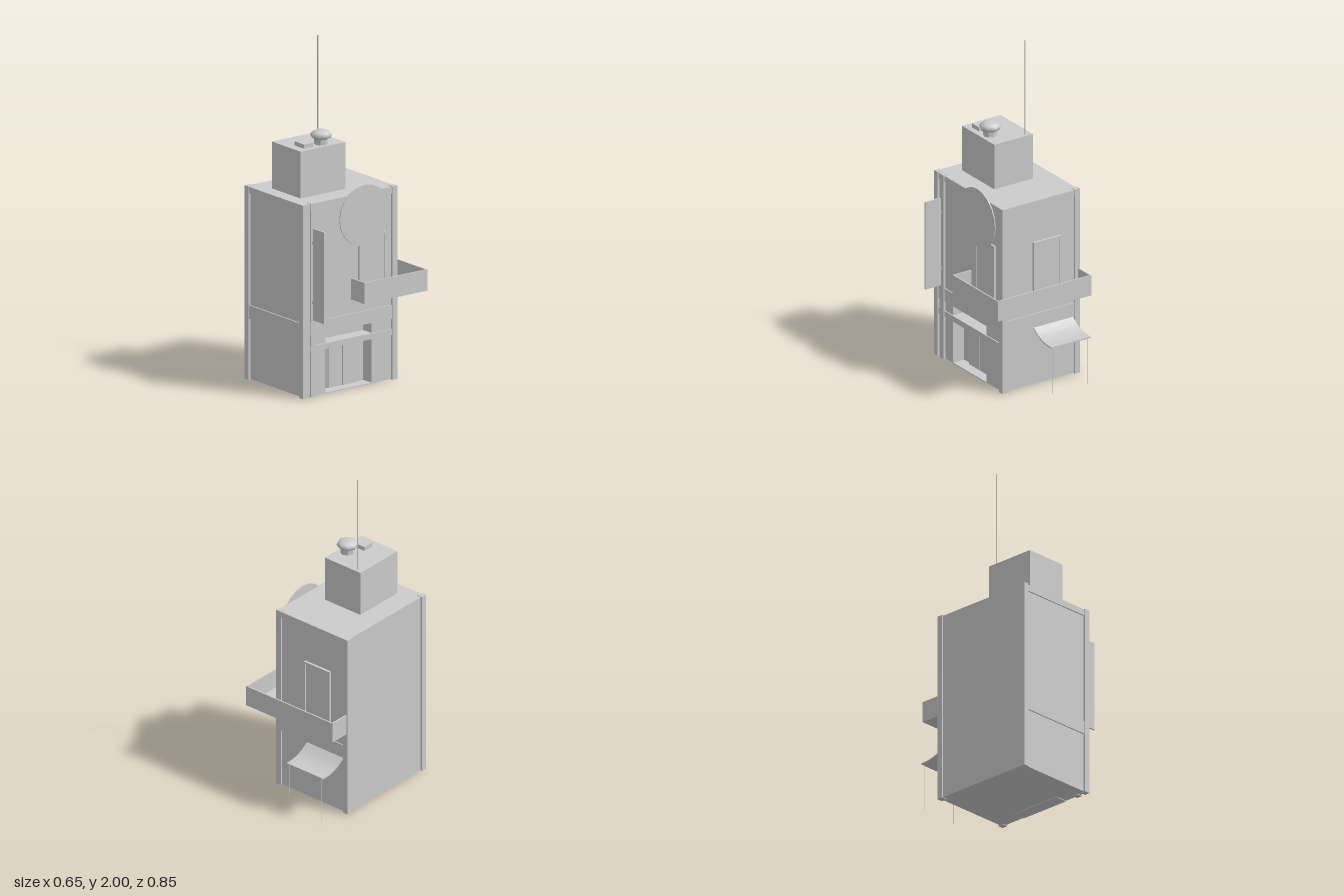
import * as THREE from 'three';

const grey = new THREE.MeshStandardMaterial({ color: 0xcccccc, side: THREE.DoubleSide });
const flat = new THREE.MeshStandardMaterial({ color: 0xcccccc, flatShading: true });

export function createModel() {
  const model = new THREE.Group();

  const add = (name, geometry, material = flat, parent = model) => {
    const mesh = new THREE.Mesh(geometry, material);
    mesh.name = name;
    parent.add(mesh);
    return mesh;
  };
  // Box given by its min and max along each axis
  const box = (name, x0, x1, y0, y1, z0, z1, parent = model) => {
    const mesh = add(name, new THREE.BoxGeometry(x1 - x0, y1 - y0, z1 - z0), flat, parent);
    mesh.position.set((x0 + x1) / 2, (y0 + y1) / 2, (z0 + z1) / 2);
    return mesh;
  };
  const rect = (path, x0, x1, y0, y1) =>
    path.moveTo(x0, y0).lineTo(x1, y0).lineTo(x1, y1).lineTo(x0, y1).closePath();

  // Main block, and the street wall with its doorway and transom openings (drawn in -z, y)
  box('mainBlock', -0.32, 0.12, 0.004, 1.135, -0.248, 0.41);
  const wall = new THREE.Shape();
  [[-0.41, 0.004], [-0.25, 0.004], [-0.25, 0.265], [0.08, 0.265], [0.08, 0.004],
    [0.248, 0.004], [0.248, 1.135], [-0.41, 1.135]]
    .forEach(([u, y], i) => (i ? wall.lineTo(u, y) : wall.moveTo(u, y)));
  const transom = new THREE.Path();
  rect(transom, -0.25, 0.08, 0.3, 0.36);
  wall.holes.push(transom);
  const wallGeometry = new THREE.ExtrudeGeometry(wall, { depth: 0.076, bevelEnabled: false });
  wallGeometry.rotateY(Math.PI / 2).translate(0.12, 0, 0);
  add('streetWall', wallGeometry);
  box('doorwayFloor', 0.12, 0.196, 0, 0.006, -0.08, 0.25);

  // Corner posts, plus one extra post beside the sign
  for (const [x, z] of [[-0.31, 0.405], [0.19, 0.405], [-0.31, -0.24], [0.19, -0.24], [0.19, 0.345]])
    box('cornerPost', x - 0.018, x + 0.018, 0, 1.142, z - 0.018, z + 0.018);

  // Raised bands framing the wall panels
  for (const [y0, y1] of [[0.36, 0.44], [1.1, 1.138]]) {
    box('frontBand', -0.31, 0.19, y0, y1, 0.39, 0.418);
    box('backBand', -0.31, 0.19, y0, y1, -0.254, -0.23);
    box('sideBand', 0.17, 0.203, y0, y1, -0.24, 0.405);
  }
  box('lowerSideBand', 0.17, 0.203, 0.265, 0.3, -0.24, 0.405);
  box('roof', -0.32, 0.2, 1.13, 1.139, -0.252, 0.416);

  // Double entrance door inside the recess
  const entrance = new THREE.Group();
  entrance.name = 'entrance';
  model.add(entrance);
  box('doorFrame', 0.118, 0.128, 0, 0.25, -0.03, 0.19, entrance);
  for (const z of [-0.022, 0.083]) box('doorLeaf', 0.12, 0.134, 0.006, 0.24, z, z + 0.099, entrance);

  // Balcony doors: a thin panel in a raised frame, facing +z before turning
  const balconyDoor = (x, z, angle) => {
    const door = new THREE.Group();
    door.name = 'balconyDoor';
    box('panel', -0.09, 0.09, 0.53, 0.88, -0.01, 0.006, door);
    const frame = new THREE.Shape();
    rect(frame, -0.095, 0.095, 0.525, 0.886);
    const hole = new THREE.Path();
    rect(hole, -0.085, 0.085, 0.53, 0.876);
    frame.holes.push(hole);
    add('frame', new THREE.ExtrudeGeometry(frame, { depth: 0.016, bevelEnabled: false }), flat, door)
      .position.z = -0.004;
    door.position.set(x, 0, z);
    door.rotation.y = angle;
    model.add(door);
  };
  balconyDoor(0.197, -0.08, Math.PI / 2);
  balconyDoor(-0.1, -0.251, Math.PI);

  // L-shaped balcony wrapping the back corner
  const balcony = new THREE.Group();
  balcony.name = 'balcony';
  model.add(balcony);
  const t = 0.008;
  box('backFloor', -0.32, 0.325, 0.525, 0.535, -0.382, -0.24, balcony);
  box('sideFloor', 0.19, 0.325, 0.525, 0.535, -0.24, 0.07, balcony);
  box('backParapet', -0.32, 0.325, 0.525, 0.65, -0.382, -0.382 + t, balcony);
  box('sideParapet', 0.325 - t, 0.325, 0.525, 0.65, -0.382, 0.07, balcony);
  box('frontEnd', 0.2, 0.325, 0.525, 0.65, 0.07 - t, 0.07, balcony);
  box('leftEnd', -0.32, -0.32 + t, 0.525, 0.65, -0.382, -0.25, balcony);

  // Wedge brackets under the balcony
  const bracket = (x, z, angle) => {
    const side = new THREE.Shape();
    side.moveTo(0, 0.49).lineTo(0.025, 0.49).lineTo(0.05, 0.527).lineTo(0, 0.527).closePath();
    const geometry = new THREE.ExtrudeGeometry(side, { depth: 0.036, bevelEnabled: false });
    const mesh = add('bracket', geometry.translate(0, 0, -0.018));
    mesh.position.set(x, 0, z);
    mesh.rotation.y = angle;
  };
  bracket(0.198, -0.02, 0);
  bracket(0, -0.25, Math.PI / 2);

  // Round sign and hanging blade sign on the street side
  const disc = add('roundSign', new THREE.CylinderGeometry(0.18, 0.18, 0.006, 20));
  disc.rotation.z = Math.PI / 2;
  disc.position.set(0.214, 1.01, -0.017);
  box('roundSignMount', 0.19, 0.213, 1, 1.02, -0.027, -0.007);
  box('bladeSign', 0.215, 0.32, 0.455, 0.997, 0.346, 0.356);
  for (const y of [0.55, 0.9]) box('bladeSignMount', 0.2, 0.218, y, y + 0.02, 0.347, 0.355);

  // Sagging canopy over the back, on two thin poles
  const sag = new THREE.SplineCurve([[0.248, 0.352], [0.3, 0.318], [0.36, 0.298], [0.425, 0.294]]
    .map(([d, y]) => new THREE.Vector2(d, y))).getPoints(10);
  const section = new THREE.Shape([...sag, ...sag.slice().reverse().map(p => new THREE.Vector2(p.x, p.y - 0.009))]);
  const canopy = new THREE.ExtrudeGeometry(section, { depth: 0.27, bevelEnabled: false });
  add('canopy', canopy.rotateY(Math.PI / 2).translate(-0.285, 0, 0), grey);
  for (const x of [-0.27, -0.03]) {
    const pole = add('canopyPole', new THREE.CylinderGeometry(0.0018, 0.0018, 0.29, 6));
    pole.position.set(x, 0.145, -0.417);
  }

  // Rooftop room with hatch, vent and mast
  box('roofRoom', -0.19, 0.076, 1.135, 1.415, 0.013, 0.335);
  box('hatch', -0.048, 0.042, 1.41, 1.44, 0.215, 0.283);
  const stalk = add('ventStalk', new THREE.CylinderGeometry(0.04, 0.04, 0.04, 8));
  stalk.position.set(0.017, 1.43, 0.142);
  const cap = add('ventCap', new THREE.SphereGeometry(0.063, 8, 6), grey);
  cap.scale.y = 0.5;
  cap.position.set(0.017, 1.469, 0.142);
  const mast = add('mast', new THREE.CylinderGeometry(0.004, 0.004, 0.59, 8));
  mast.position.set(-0.15, 1.705, 0.035);

  return model;
}
